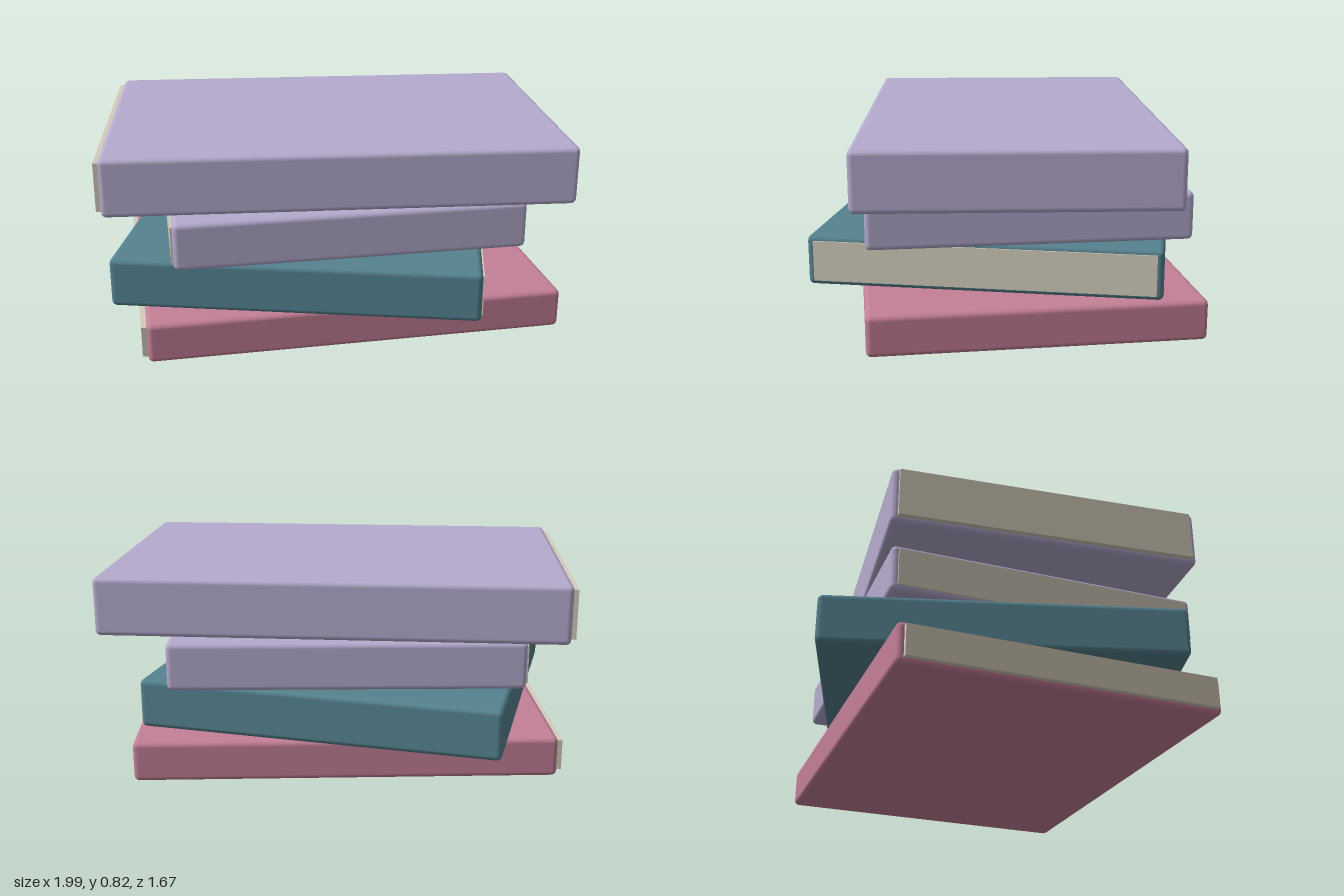
import * as THREE from 'three';
import { RoundedBoxGeometry } from 'three/addons/geometries/RoundedBoxGeometry.js';

const material = (color) => new THREE.MeshStandardMaterial({ color });
const lavender = material(0xb5abce);
const teal = material(0x55828f);
const pink = material(0xc47f97);
const paper = material(0xd3ccbb);

// One book: a rounded cover and a page block that pokes out of the open edge.
// side is the local x direction of the open edge, overhang how far it pokes out.
function createBook({ name, cover, x, y0, y1, width, depth, turn, side, overhang }) {
  const book = new THREE.Group();
  book.name = name;
  const height = y1 - y0;

  const coverMesh = new THREE.Mesh(new RoundedBoxGeometry(width, height, depth, 2, 0.022), cover);
  coverMesh.name = name + 'Cover';

  const pageWidth = width - 0.08;
  const pages = new THREE.Mesh(new THREE.BoxGeometry(pageWidth, height - 0.04, depth - 0.055), paper);
  pages.name = name + 'Pages';
  pages.position.x = side * (width / 2 + overhang - pageWidth / 2);

  book.add(coverMesh, pages);
  book.position.set(x, (y0 + y1) / 2, 0);
  book.rotation.y = turn;
  return book;
}

export function createModel() {
  const model = new THREE.Group();
  model.name = 'bookStack';

  // Books from the bottom of the stack to the top
  const books = [
    { name: 'bottomBook', cover: pink, x: 0.005, y0: 0, y1: 0.17, width: 1.75, depth: 1.365, turn: 0.14, side: -1, overhang: 0.022 },
    { name: 'secondBook', cover: teal, x: -0.07, y0: 0.17, y1: 0.38, width: 1.52, depth: 1.465, turn: -0.149, side: 1, overhang: 0.006 },
    { name: 'thirdBook', cover: lavender, x: -0.008, y0: 0.38, y1: 0.58, width: 1.46, depth: 1.325, turn: 0.124, side: -1, overhang: 0.008 },
    { name: 'topBook', cover: lavender, x: 0.006, y0: 0.58, y1: 0.825, width: 1.93, depth: 1.265, turn: 0.034, side: -1, overhang: 0.02 },
  ];
  for (const spec of books) model.add(createBook(spec));
  return model;
}
